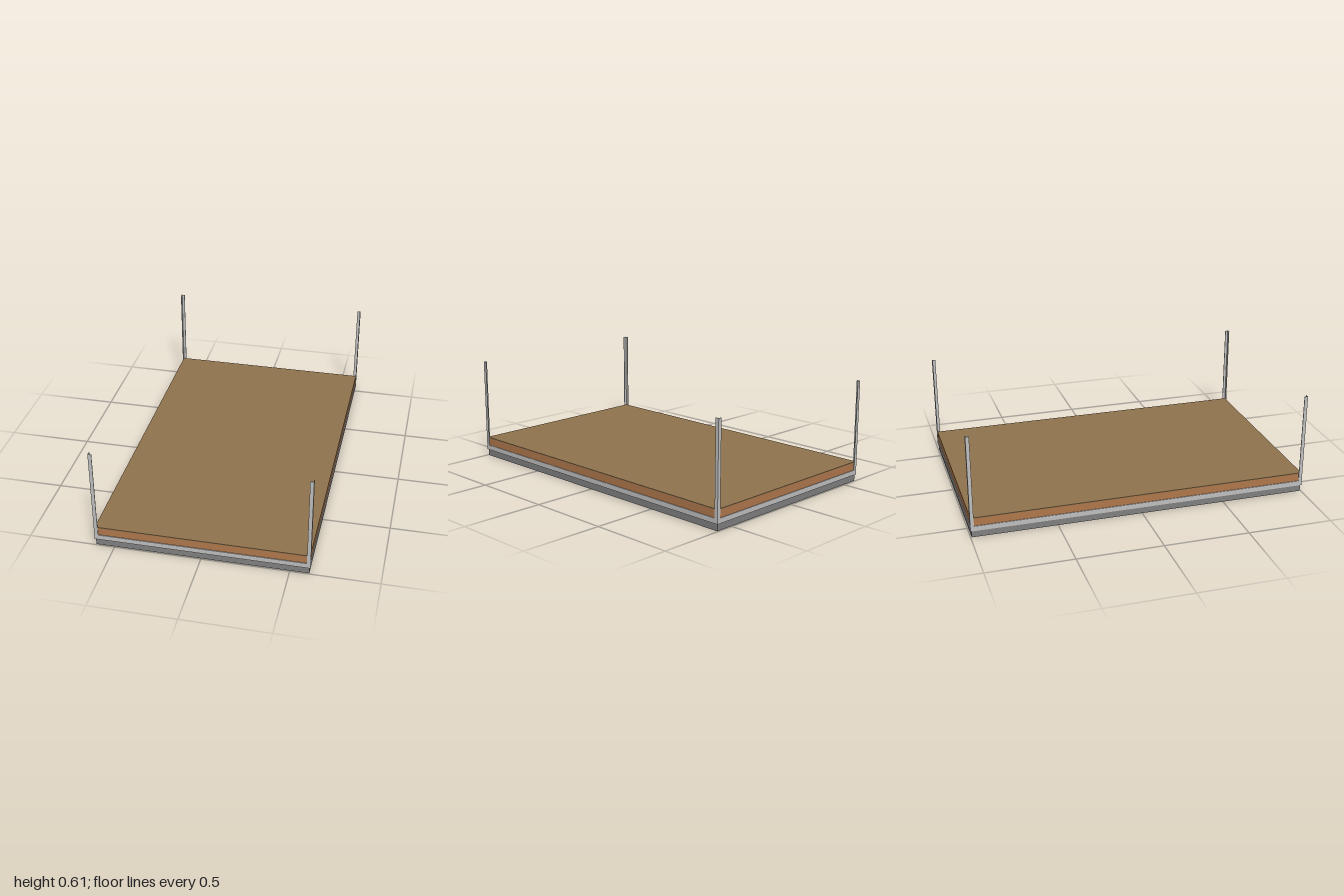
import * as THREE from 'three';

const mat = (name, color) => {
  const m = new THREE.MeshStandardMaterial({ color });
  m.name = name;
  return m;
};

export function createModel() {
  const model = new THREE.Group();
  model.name = 'deckPlatform';

  const steel = mat('dark grey steel', 0x808080);
  const angleSteel = mat('light grey steel', 0xc0c0c0);
  const lumber = mat('orange lumber', 0xb0784c);
  const plywood = mat('brown plywood', 0x90734e);

  const X = 0.614, Z = 1.0;   // outer half sizes
  const T = 0.004;            // angle thickness
  const IX = X - T, IZ = Z - T;

  // Box given by its minimum and maximum corners
  const box = (parent, name, material, x0, x1, y0, y1, z0, z1) => {
    const mesh = new THREE.Mesh(new THREE.BoxGeometry(x1 - x0, y1 - y0, z1 - z0), material);
    mesh.position.set((x0 + x1) / 2, (y0 + y1) / 2, (z0 + z1) / 2);
    mesh.name = name;
    parent.add(mesh);
  };
  const group = (name) => {
    const g = new THREE.Group();
    g.name = name;
    model.add(g);
    return g;
  };

  // Rectangular ring of four bars
  const ring = (parent, name, material, hx, hz, w, y0, y1) => {
    for (const s of [-1, 1]) {
      const a = s * hx, b = s * (hx - w), c = s * hz, d = s * (hz - w);
      box(parent, name + 'Side', material, Math.min(a, b), Math.max(a, b), y0, y1, -hz, hz);
      box(parent, name + 'End', material, -hx + w, hx - w, y0, y1, Math.min(c, d), Math.max(c, d));
    }
  };

  // Base tube frame
  ring(group('baseFrame'), 'baseTube', steel, 0.608, 0.994, 0.042, 0, 0.04);

  // Angle rail: flat ledge on the base and upright lip
  const rail = group('angleRail');
  ring(rail, 'railLedge', angleSteel, X, Z, 0.03, 0.04, 0.044);
  ring(rail, 'railLip', angleSteel, X, Z, T, 0.044, 0.07);

  // Rim boards and joists
  const joists = group('joists');
  const JT = 0.0125, J0 = 0.044, J1 = 0.115;
  ring(joists, 'rimBoard', lumber, IX, IZ, JT, J0, J1);
  const count = 16, span = 2 * IZ - JT;
  for (let i = 1; i < count - 1; i++) {
    const z = -span / 2 + (span * i) / (count - 1);
    box(joists, 'joist', lumber, -IX + JT, IX - JT, J0, J1, z - JT / 2, z + JT / 2);
  }

  // Deck sheet
  box(model, 'deck', plywood, -IX, IX, J1, 0.121, -IZ, IZ);

  // Corner posts of L-section
  const L = 0.021;
  for (const sx of [-1, 1]) for (const sz of [-1, 1]) {
    const outline = [[0, 0], [L, 0], [L, T], [T, T], [T, L], [0, L]]
      .map(([a, b]) => new THREE.Vector2(sx * (X - a), -sz * (Z - b)));
    const geo = new THREE.ExtrudeGeometry(new THREE.Shape(outline), { depth: 0.572, bevelEnabled: false });
    geo.rotateX(-Math.PI / 2);
    const post = new THREE.Mesh(geo, angleSteel);
    post.position.y = 0.041;
    post.name = 'cornerPost';
    model.add(post);
  }

  return model;
}
